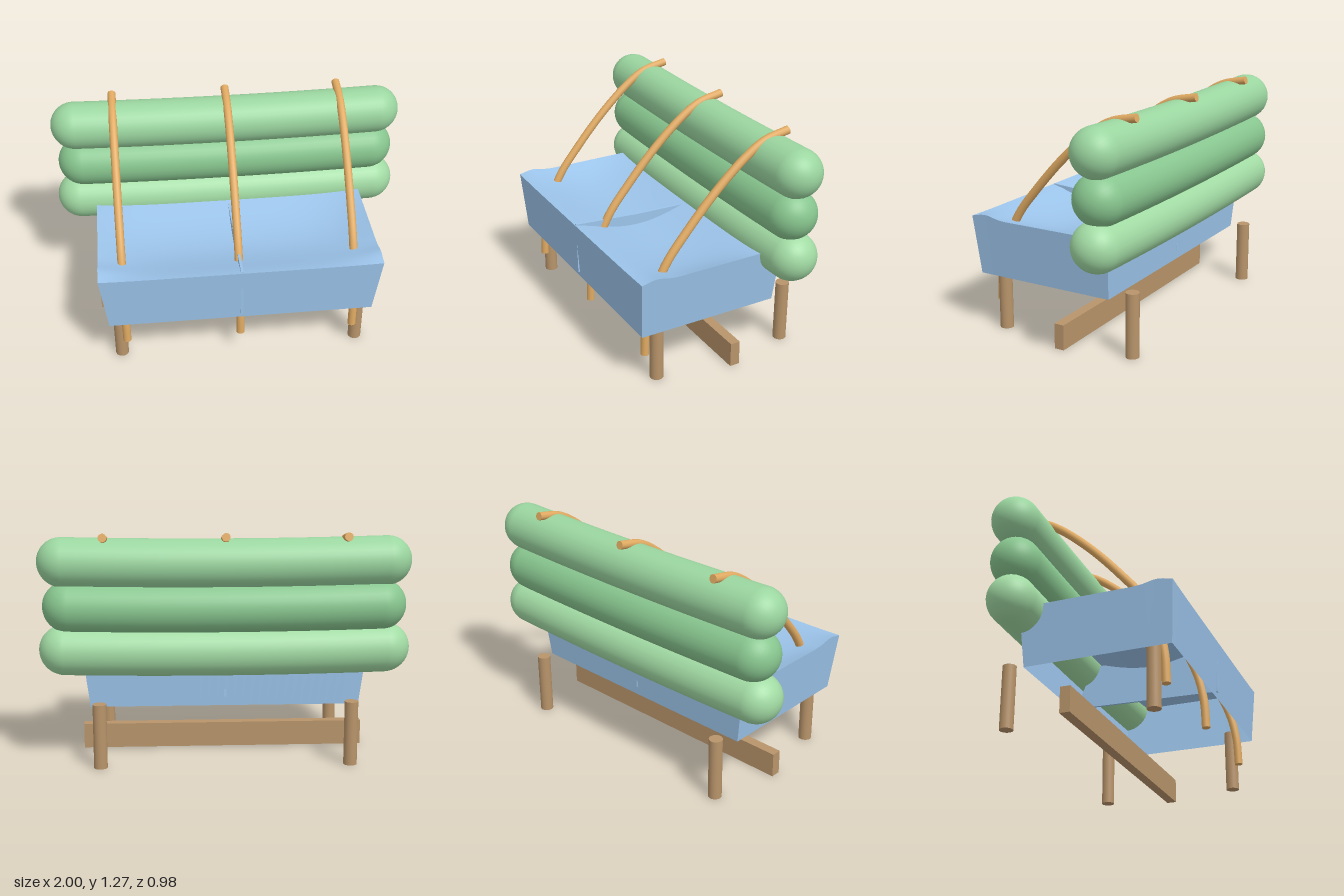
import * as THREE from 'three';

const mat = (color, side = THREE.FrontSide) => new THREE.MeshStandardMaterial({ color, side });
const BLUE = mat(0x9cc4ea, THREE.DoubleSide);
const WOOD = mat(0xb8946a), CANE = mat(0xe0aa62);

const FRONT = 0.493, BACK = -0.355, HALF = 0.775, BASE = 0.31;

// Height of the seat deck: raised front corners, sagging middle
function deckY(u, z) {
  const edge = Math.pow(Math.abs(u), 6);
  const peak = 0.02 * edge * Math.exp(-(((z - 0.41) / 0.07) ** 2));
  const s = Math.min(1, (FRONT - z) / 0.8);
  const sag = 0.085 * (1 - u ** 4) * Math.pow(Math.max(0, Math.sin(Math.PI * s)), 1.2);
  return 0.638 + peak - sag;
}

// Unit plane whose vertices are moved by rule(u, v), with u and v in -1..1
function sheet(rule, nu, nv) {
  const geo = new THREE.PlaneGeometry(2, 2, nu, nv);
  const p = geo.attributes.position;
  for (let i = 0; i < p.count; i++) p.setXYZ(i, ...rule(p.getX(i), p.getY(i)));
  geo.computeVertexNormals();
  return geo;
}

function add(parent, name, geo, material, x = 0, y = 0, z = 0) {
  const mesh = new THREE.Mesh(geo, material);
  mesh.name = name;
  mesh.position.set(x, y, z);
  parent.add(mesh);
  return mesh;
}

// Open-bottomed seat tub with tapered walls
function makeSeat() {
  const seat = new THREE.Group();
  seat.name = 'seat';
  const zAt = (v) => THREE.MathUtils.lerp(FRONT, BACK, (v + 1) / 2);

  add(seat, 'seatDeck', sheet((u, v) => [u * HALF, deckY(u, zAt(v)), zAt(v)], 32, 32), BLUE);

  for (const [name, zTop, zLow] of [['seatFront', FRONT, 0.471], ['seatBack', BACK, -0.335]]) {
    const dir = Math.sign(zTop);
    add(seat, name, sheet((u, v) => {
      const t = (v + 1) / 2, w = u * dir;
      return [w * THREE.MathUtils.lerp(0.735, HALF, t),
        THREE.MathUtils.lerp(BASE, deckY(w, zTop), t), THREE.MathUtils.lerp(zLow, zTop, t)];
    }, 32, 1), BLUE);
  }
  for (const side of [1, -1]) {
    add(seat, side > 0 ? 'seatLeftSide' : 'seatRightSide', sheet((u, v) => {
      const t = (v + 1) / 2, w = (u * side + 1) / 2;
      const zTop = THREE.MathUtils.lerp(FRONT, BACK, w);
      return [side * THREE.MathUtils.lerp(0.735, HALF, t),
        THREE.MathUtils.lerp(BASE, deckY(1, zTop), t),
        THREE.MathUtils.lerp(THREE.MathUtils.lerp(0.471, -0.335, w), zTop, t)];
    }, 32, 1), BLUE);
  }

  // Thin upright divider down the middle
  const outline = new THREE.Shape([[0.483, 0.34], [0.487, 0.642], [0.1, 0.615], [-0.26, 0.605],
    [-0.34, 0.42], [-0.342, 0.36]].map(([z, y]) => new THREE.Vector2(-z, y)));
  const geo = new THREE.ExtrudeGeometry(outline, { depth: 0.014, bevelEnabled: false });
  geo.translate(0, 0, -0.007).rotateY(Math.PI / 2);
  add(seat, 'seatDivider', geo, BLUE);
  return seat;
}

// Long round cushion with domed ends and a slight sag
function makeRoll(radius, halfLength) {
  const geo = new THREE.CapsuleGeometry(radius, 2 * (halfLength - radius), 12, 32, 24);
  geo.rotateZ(Math.PI / 2);
  const p = geo.attributes.position;
  for (let i = 0; i < p.count; i++) p.setY(i, p.getY(i) - 0.016 * (1 - p.getX(i) ** 2));
  geo.computeVertexNormals();
  // Keep the seam smooth by reusing the ideal capsule normals
  const n = geo.attributes.normal;
  const core = halfLength - radius, v = new THREE.Vector3();
  for (let i = 0; i < p.count; i++) {
    const x = p.getX(i);
    v.set(x - THREE.MathUtils.clamp(x, -core, core), p.getY(i) + 0.016 * (1 - x * x), p.getZ(i)).normalize();
    n.setXYZ(i, v.x, v.y, v.z);
  }
  return geo;
}

// Bent cane running from under the seat up over the top cushion
function makeCane() {
  const cane = new THREE.Group();
  const curve = new THREE.CatmullRomCurve3([[0.14, 0.408], [0.3, 0.4], [0.46, 0.365], [0.648, 0.28],
    [0.805, 0.158], [0.99, -0.01], [1.145, -0.185], [1.215, -0.3], [1.248, -0.447]]
    .map(([y, z]) => new THREE.Vector3(0, y, z)));
  add(cane, 'caneShaft', new THREE.TubeGeometry(curve, 64, 0.023, 14, false), CANE);
  for (const t of [0, 1]) {
    const cap = add(cane, 'caneEnd', new THREE.CircleGeometry(0.023, 14), CANE);
    const dir = curve.getTangent(t).multiplyScalar(t ? 1 : -1);
    cap.position.copy(curve.getPoint(t));
    cap.quaternion.setFromUnitVectors(new THREE.Vector3(0, 0, 1), dir);
  }
  return cane;
}

export function createModel() {
  const model = new THREE.Group();
  model.name = 'bench';
  model.add(makeSeat());

  // Three stacked backrest cushions
  const rolls = [
    ['lowerCushion', 0.135, 1.0, 0.638, 0xa2dba4],
    ['middleCushion', 0.139, 0.977, 0.874, 0x88c68f],
    ['upperCushion', 0.134, 1.0, 1.113, 0x9bd6a0],
  ];
  for (const [name, r, half, y, color] of rolls) add(model, name, makeRoll(r, half), mat(color), 0, y, -0.352);

  // Bent canes
  for (const x of [-0.645, 0, 0.645]) {
    const cane = makeCane();
    cane.name = 'cane';
    cane.position.x = x;
    model.add(cane);
  }

  // Legs
  for (const x of [-0.68, 0.68]) {
    for (const [name, z] of [['frontLeg', 0.355], ['backLeg', -0.445]]) {
      add(model, name, new THREE.CylinderGeometry(0.037, 0.037, 0.355, 24), WOOD, x, 0.1775, z);
    }
  }

  // Low beam between the legs
  add(model, 'footBeam', new THREE.BoxGeometry(1.59, 0.14, 0.056), WOOD, 0, 0.07, -0.068);
  return model;
}
